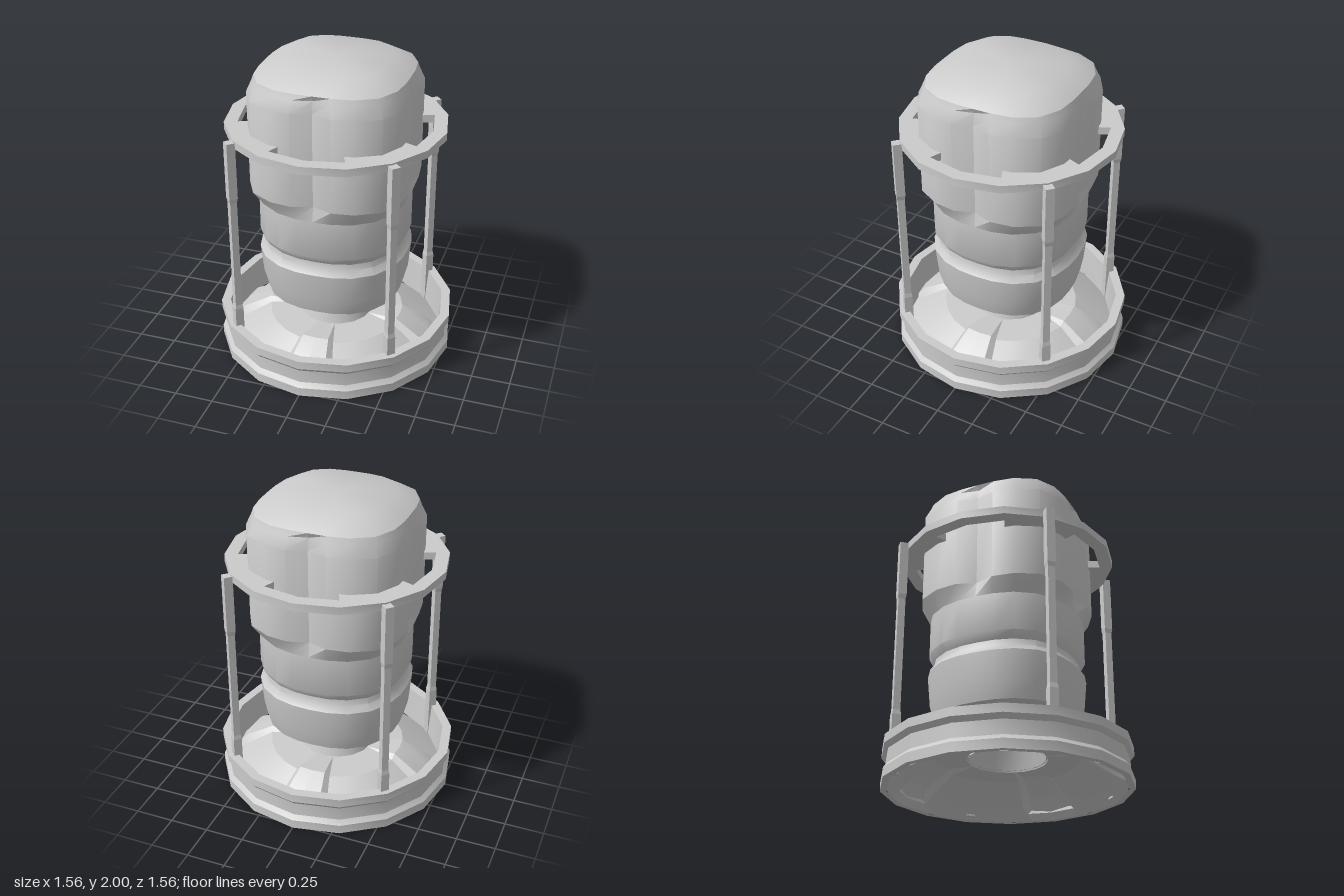
import * as THREE from 'three';
import { toCreasedNormals } from 'three/addons/utils/BufferGeometryUtils.js';

const grey = new THREE.MeshStandardMaterial({ color: 0xcccccc });
const greyThin = new THREE.MeshStandardMaterial({ color: 0xcccccc, side: THREE.DoubleSide });

function mesh(name, geometry, material = grey, crease = 0.6) {
  const m = new THREE.Mesh(toCreasedNormals(geometry, crease), material);
  m.name = name;
  return m;
}

// Closed rings of points, bottom to top; at(row, angle) returns [radius, y].
function loft(rows, angles, at) {
  const pos = [], idx = [], n = angles.length;
  rows.forEach((row, i) => angles.forEach((a, j) => {
    const [r, y] = at(row, a);
    pos.push(r * Math.sin(a), y, r * Math.cos(a));
    if (i === 0) return;
    const k = (j + 1) % n, lo = (i - 1) * n, hi = i * n;
    idx.push(lo + j, lo + k, hi + k, lo + j, hi + k, hi + j);
  }));
  const g = new THREE.BufferGeometry();
  g.setAttribute('position', new THREE.Float32BufferAttribute(pos, 3));
  g.setIndex(idx);
  return g;
}

// Repeats the angles of one quarter four times around the axis.
const quarters = (list) => [0, 1, 2, 3].flatMap((q) => list.map((a) => a + q * Math.PI / 2));

// Radius of a rounded square with half width 1 and squareness n.
const rounded = (a, n) =>
  Math.pow(Math.abs(Math.sin(a)) ** n + Math.abs(Math.cos(a)) ** n, -1 / n);

const lathe = (points) =>
  new THREE.LatheGeometry(points.map(([r, y]) => new THREE.Vector2(r, y)), 16);

export function createModel() {
  const model = new THREE.Group();

  // Base rim with a recessed waist
  model.add(mesh('baseRim', lathe([
    [0.74, 0], [0.78, 0], [0.78, 0.06], [0.755, 0.09], [0.755, 0.18],
    [0.78, 0.21], [0.78, 0.265], [0.72, 0.265], [0.70, 0.04],
  ])));

  // Conical dish with four raised radial channels: [radius, height, rise]
  const dishAngles = quarters([-0.26, -0.19, 0, 0.19, 0.26, 0.52, 0.785, 1.05]);
  model.add(mesh('baseDish', loft(
    [[0.74, 0, 0], [0.64, 0.07, 0.05], [0.45, 0.19, 0.03], [0.24, 0.2, 0]], dishAngles,
    ([r, y, rise], a) => {
      const off = Math.abs(a - Math.round(a / (Math.PI / 2)) * Math.PI / 2);
      return [r, y + (off < 0.2 ? rise : 0)];
    }), greyThin, 0.4));

  // Hollow stem
  model.add(mesh('stem', lathe([[0.25, 0.19], [0.23, 0.265], [0.205, 0.35]]), greyThin));

  // Lower body: tapered bowl, lip, groove and plain band
  const bodyAngles = quarters([0, 0.24, 0.5, Math.PI / 4, 1.07, 1.33]);
  const lower = [[0, 0.345], [0.27, 0.345], [0.44, 0.42], [0.468, 0.53], [0.485, 0.72],
    [0.455, 0.76], [0.45, 0.80], [0.48, 0.85], [0.48, 1.1]];
  model.add(mesh('lowerBody', loft(lower, bodyAngles,
    ([s, y], a) => [s * rounded(a, 2.4), y])));

  // Channel centres are pulled inward where a row gives a third value
  const upperPoint = ([s, y, channel, n = 3.18], a) => {
    const onAxis = Math.abs(Math.sin(2 * a)) < 1e-6;
    return [onAxis && channel ? channel : s * rounded(a, n), y];
  };

  // Sloping collar between the two body sections
  model.add(mesh('bodyCollar', loft(
    [[0.48, 1.1, 0.48, 2.4], [0.51, 1.2, 0.465]], bodyAngles, upperPoint)));

  // Upper body and domed cap with four vertical channels
  model.add(mesh('upperBody', loft([
    [0.51, 1.2, 0.465], [0.51, 1.81, 0.465], [0.477, 1.885, 0.45],
    [0.465, 1.92], [0.33, 2.0], [0, 2.0],
  ], bodyAngles, upperPoint)));

  // Guard ring, cut back beside each body channel
  const polar = (r, k) =>
    new THREE.Vector2(r * Math.cos(k * Math.PI / 8), r * Math.sin(k * Math.PI / 8));
  const ring = new THREE.Shape(Array.from({ length: 16 }, (_, k) => polar(0.70, k)));
  const inner = [0, 4, 8, 12].flatMap((k) => [
    polar(0.5, k - 1), polar(0.615, k - 1), polar(0.615, k),
    polar(0.615, k + 1), polar(0.5, k + 1), polar(0.5, k + 2),
  ]);
  ring.holes.push(new THREE.Path(inner));
  const ringGeometry = new THREE.ExtrudeGeometry(ring, { depth: 0.05, bevelEnabled: false });
  ringGeometry.rotateX(-Math.PI / 2).translate(0, 1.535, 0);
  model.add(mesh('guardRing', ringGeometry));

  // Four posts with a slimmer middle
  const section = [1, 3, 5, 7].map((k) => k * Math.PI / 4);
  const postRows = [[0, 0.02], [0.039, 0.02], [0.039, 0.39], [0.032, 0.42],
    [0.032, 1.17], [0.039, 1.2], [0.039, 1.575], [0, 1.575]];
  for (let k = 0; k < 4; k++) {
    const post = mesh('post', loft(postRows, section, (row) => row), grey, 0.1);
    const a = Math.PI / 4 + k * Math.PI / 2;
    post.position.set(0.72 * Math.sin(a), 0, 0.72 * Math.cos(a));
    post.rotation.y = a;
    model.add(post);
  }

  return model;
}
